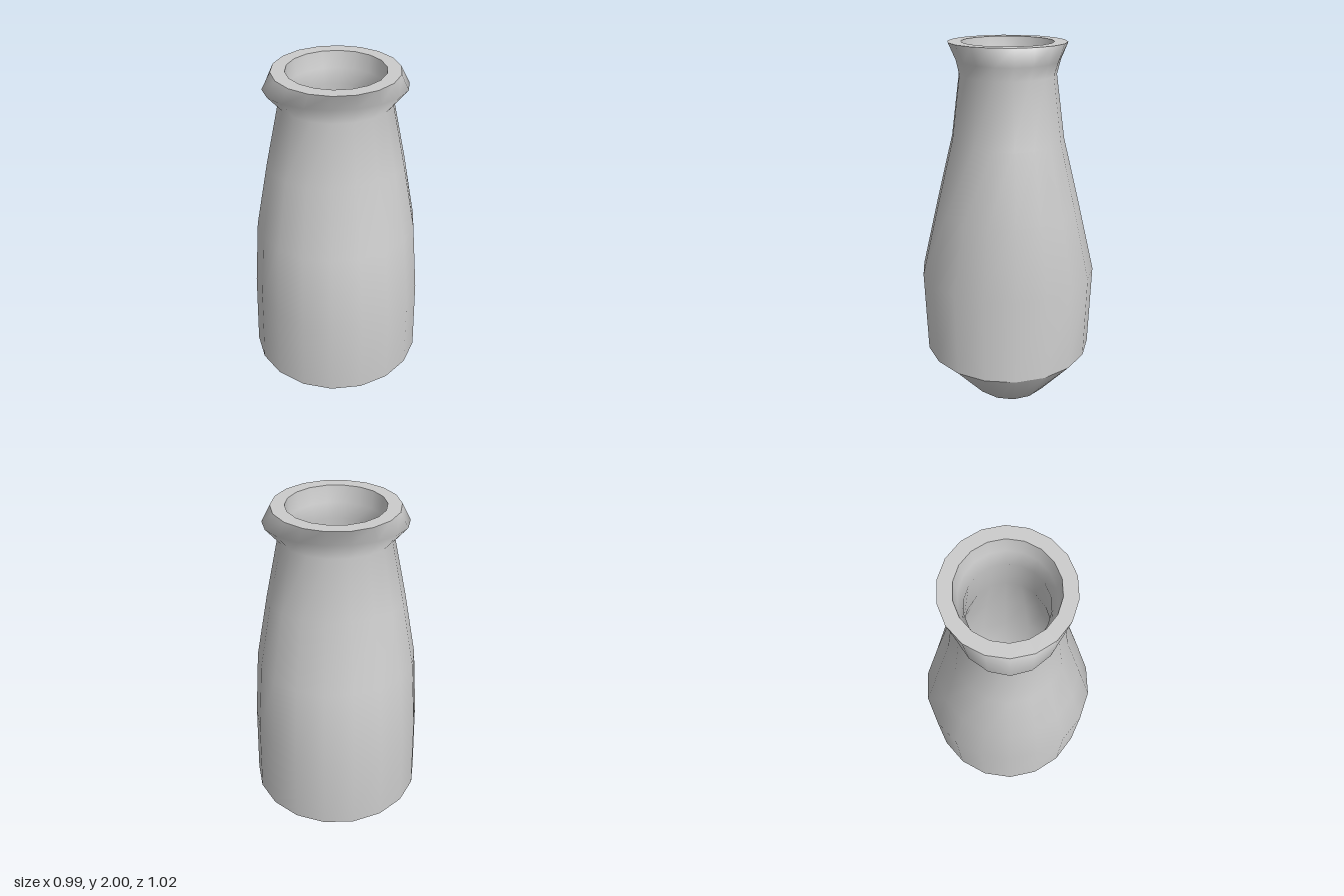
import * as THREE from 'three';

const SIDES = 18;
const TILT = Math.PI / 18; // the oval sections are turned slightly about y

// Smooth skin through oval rings [y, long radius, short radius]
function loft(name, rings, material) {
  const pos = [], index = [];
  const ct = Math.cos(TILT), st = Math.sin(TILT);
  rings.forEach(([y, a, b], i) => {
    for (let j = 0; j < SIDES; j++) {
      const t = (j / SIDES) * Math.PI * 2;
      const u = a * Math.cos(t), v = b * Math.sin(t);
      pos.push(u * ct + v * st, y, -u * st + v * ct);
      if (i === rings.length - 1) continue;
      const k = (j + 1) % SIDES;
      const p = i * SIDES + j, q = i * SIDES + k;
      index.push(p, p + SIDES, q, q, p + SIDES, q + SIDES);
    }
  });
  const geo = new THREE.BufferGeometry();
  geo.setAttribute('position', new THREE.Float32BufferAttribute(pos, 3));
  geo.setIndex(index);
  geo.computeVertexNormals();
  const mesh = new THREE.Mesh(geo, material);
  mesh.name = name;
  return mesh;
}

export function createModel() {
  const group = new THREE.Group();
  group.name = 'vase';
  const grey = new THREE.MeshStandardMaterial({ color: 0xcccccc });

  // Underside and the slanted foot, narrower front to back
  const base = [[0, 0, 0], [0, 0.395, 0.275], [0.19, 0.505, 0.495]];
  // Outer wall up to the flared lip
  const wall = [
    [0.19, 0.505, 0.495], [0.68, 0.487, 0.51], [1.09, 0.453, 0.412],
    [1.48, 0.378, 0.315], [1.83, 0.302, 0.268], [1.91, 0.38, 0.285], [2, 0.333, 0.325],
  ];
  // Flat top of the lip
  const rim = [[2, 0.333, 0.325], [2, 0.26, 0.252]];
  // Hollow inside, from the lip down to the floor
  const inside = [
    [2, 0.26, 0.252], [1.91, 0.25, 0.235], [1.83, 0.222, 0.21], [1.48, 0.3, 0.237],
    [1.09, 0.373, 0.333], [0.68, 0.408, 0.43], [0.23, 0.42, 0.41], [0.08, 0.315, 0.197],
  ];
  const floor = [[0.08, 0.315, 0.197], [0.08, 0, 0]];

  const parts = { base, wall, rim, inside, floor };
  for (const [name, rings] of Object.entries(parts)) group.add(loft(name, rings, grey));
  return group;
}
